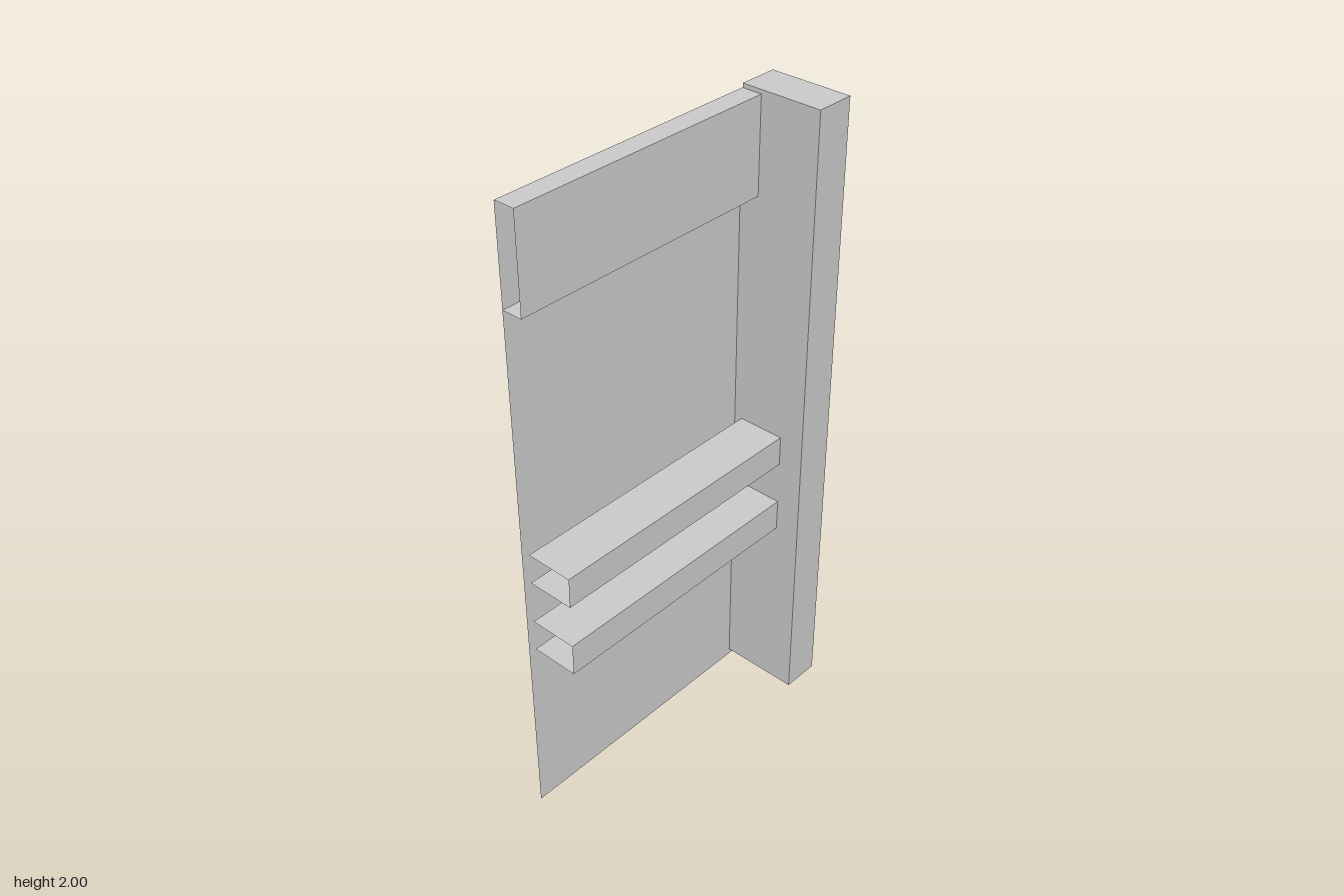
import * as THREE from 'three';

const material = new THREE.MeshStandardMaterial({ color: 0xcccccc, flatShading: true, side: THREE.DoubleSide });

// Thin sheet folded along an open x,y profile and run from z0 to z1
function foldedSheet(name, profile, z0, z1) {
  const positions = [];
  for (let i = 0; i < profile.length - 1; i++) {
    const [ax, ay] = profile[i];
    const [bx, by] = profile[i + 1];
    positions.push(ax, ay, z0, bx, by, z0, bx, by, z1);
    positions.push(ax, ay, z0, bx, by, z1, ax, ay, z1);
  }
  const geometry = new THREE.BufferGeometry();
  geometry.setAttribute('position', new THREE.Float32BufferAttribute(positions, 3));
  geometry.computeVertexNormals();
  const mesh = new THREE.Mesh(geometry, material);
  mesh.name = name;
  return mesh;
}

// Channel open towards -x and at both ends
function channel(name, x0, x1, y0, y1) {
  return foldedSheet(name, [[x0, y0], [x1, y0], [x1, y1], [x0, y1]], -0.37, 0.492);
}

export function createModel() {
  const group = new THREE.Group();
  group.name = 'wallSection';

  // Upright post
  const post = new THREE.Mesh(new THREE.BoxGeometry(0.255, 1.98, 0.121), material);
  post.name = 'post';
  post.position.set(0, 1.01, -0.4315);
  group.add(post);

  // Thin wall sheet along the side of the post
  group.add(foldedSheet('wallPanel', [[-0.1285, 1.987], [-0.1285, 0]], -0.493, 0.492));

  // Header along the top of the wall
  group.add(channel('header', -0.128, -0.064, 1.7, 1.988));

  // Two hand rails standing clear of the wall
  for (const [name, y0, y1] of [['lowerRail', 0.63, 0.731], ['upperRail', 0.869, 0.965]]) {
    group.add(channel(name, -0.1, 0.049, y0, y1));
  }
  return group;
}
